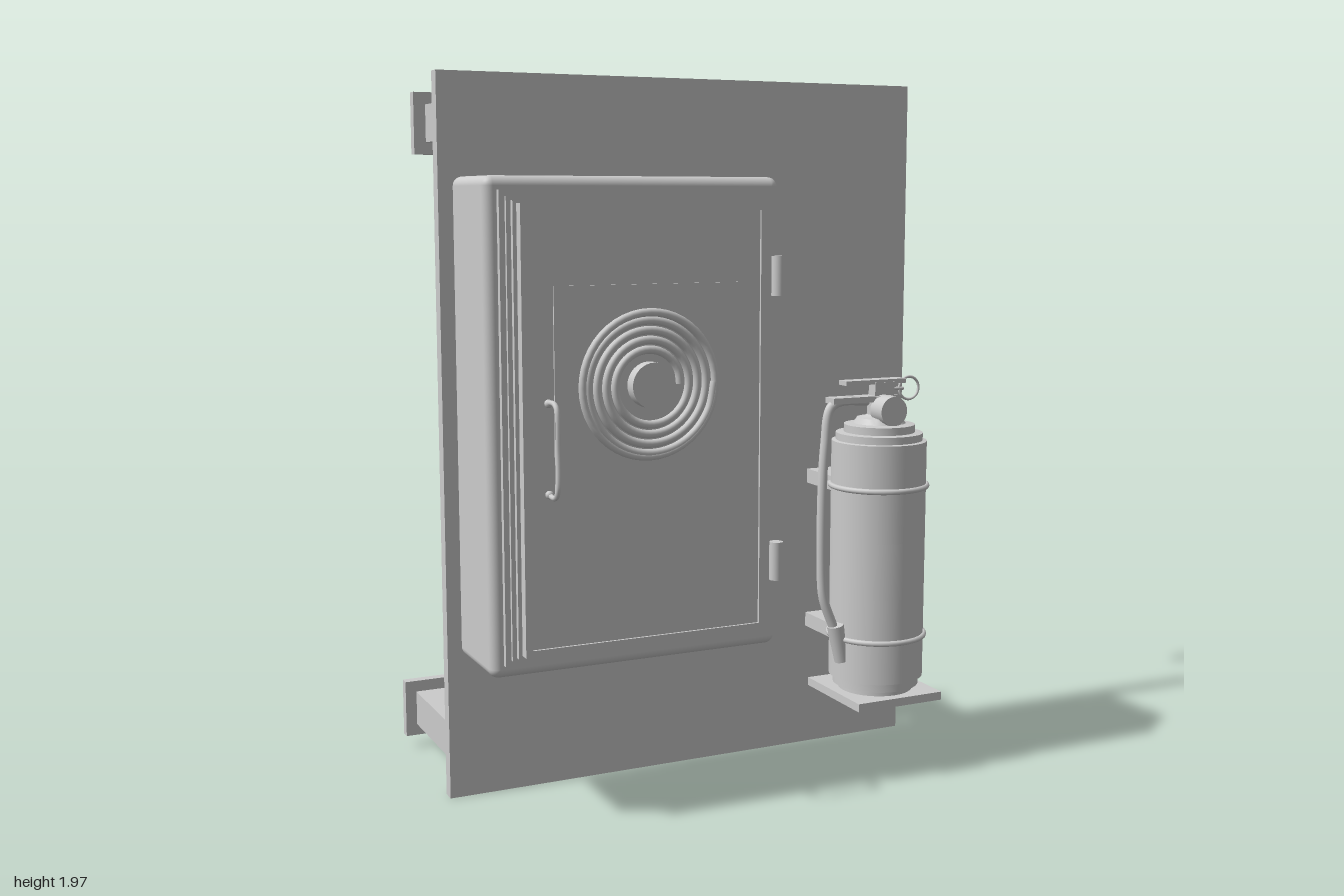
import * as THREE from 'three';
import { RoundedBoxGeometry } from 'three/addons/geometries/RoundedBoxGeometry.js';
import { toCreasedNormals } from 'three/addons/utils/BufferGeometryUtils.js';

const grey = new THREE.MeshStandardMaterial({ color: 0xcccccc });
grey.name = 'light grey';

function add(parent, name, geometry, x = 0, y = 0, z = 0) {
  const mesh = new THREE.Mesh(geometry, grey);
  mesh.name = name;
  mesh.position.set(x, y, z);
  parent.add(mesh);
  return mesh;
}

// Box given by its limits, optionally with rounded edges
function box(parent, name, [x0, x1], [y0, y1], [z0, z1], r = 0) {
  const size = [x1 - x0, y1 - y0, z1 - z0];
  const geometry = r ? new RoundedBoxGeometry(...size, 3, r) : new THREE.BoxGeometry(...size);
  return add(parent, name, geometry, (x0 + x1) / 2, (y0 + y1) / 2, (z0 + z1) / 2);
}

function tube(parent, name, points, radius, segments = 40, sides = 10) {
  const curve = new THREE.CatmullRomCurve3(points.map(p => new THREE.Vector3(...p)), false, 'centripetal');
  return add(parent, name, new THREE.TubeGeometry(curve, segments, radius, sides));
}

function group(parent, name) {
  const g = new THREE.Group();
  g.name = name;
  parent.add(g);
  return g;
}

// Rectangular ring extruded along z
function frame(parent, name, [x0, x1], [y0, y1], border, [z0, z1]) {
  const rect = (C, b) => {
    const s = new C();
    s.moveTo(x0 + b, y0 + b);
    s.lineTo(x1 - b, y0 + b);
    s.lineTo(x1 - b, y1 - b);
    s.lineTo(x0 + b, y1 - b);
    s.closePath();
    return s;
  };
  const shape = rect(THREE.Shape, 0);
  shape.holes.push(rect(THREE.Path, border));
  return add(parent, name, new THREE.ExtrudeGeometry(shape, { depth: z1 - z0, bevelEnabled: false }), 0, 0, z0);
}

// Square stand-off with a flange near its free end
function addPost(parent, side, y, end) {
  const post = group(parent, 'standOffPost');
  const x = side * 0.638;
  const square = (name, half, z0, z1) =>
    box(post, name, [x - half, x + half], [y - half, y + half], [z0, z1]);
  square('postShaft', 0.051, end + 0.03, -0.002);
  square('postFlange', 0.084, end + 0.018, end + 0.048);
  square('postEndCap', 0.051, end, end + 0.02);
  square('postEndInset', 0.06, end + 0.012, end + 0.02);
}

function addCabinet(parent) {
  const cabinet = group(parent, 'hoseCabinet');
  box(cabinet, 'cabinetBody', [-0.694, 0.139], [0.427, 1.716], [0.06, 0.334], 0.025);
  box(cabinet, 'cabinetLip', [-0.66, 0.1], [0.463, 1.68], [0.32, 0.35]);
  box(cabinet, 'doorSeal', [-0.645, 0.09], [0.48, 1.665], [0.345, 0.36]);
  box(cabinet, 'doorBack', [-0.633, 0.078], [0.487, 1.655], [0.358, 0.374]);
  box(cabinet, 'doorPanel', [-0.61, 0.055], [0.51, 1.635], [0.37, 0.395]);
  frame(cabinet, 'doorFrame', [-0.623, 0.066], [0.495, 1.647], 0.018, [0.372, 0.402]);

  // Hinge knuckles
  for (const y of [1.454, 0.675])
    add(cabinet, 'hinge', new THREE.CylinderGeometry(0.019, 0.019, 0.106, 20), 0.114, y, 0.376);

  // Door handle
  tube(cabinet, 'doorHandle', [[-0.555, 0.915, 0.39], [-0.553, 0.912, 0.44], [-0.552, 0.93, 0.455],
    [-0.55, 1.03, 0.455], [-0.552, 1.135, 0.455], [-0.553, 1.15, 0.44], [-0.555, 1.148, 0.39]], 0.007);
  for (const y of [0.915, 1.148])
    add(cabinet, 'handleFoot', new THREE.SphereGeometry(0.011, 12, 8), -0.555, y, 0.403);

  // Sign plate with a coiled hose and hub
  box(cabinet, 'signPlate', [-0.537, -0.018], [0.92, 1.442], [0.394, 0.4]);
  const coil = [];
  const turns = 4;
  for (let i = 0; i <= turns * 16; i++) {
    const a = (i / 16) * Math.PI * 2;
    const r = 0.085 + (0.1 * i) / (turns * 16);
    coil.push([r * Math.cos(a), r * Math.sin(a), 0]);
  }
  const hose = tube(cabinet, 'coiledHose', coil, 0.011, 240, 8);
  hose.position.set(-0.278, 1.183, 0.408);
  add(cabinet, 'coilOuterRing', new THREE.TorusGeometry(0.187, 0.011, 8, 48), -0.278, 1.183, 0.408);
  const hub = add(cabinet, 'coilHub', new THREE.CylinderGeometry(0.06, 0.06, 0.038, 32), -0.278, 1.183, 0.417);
  hub.rotation.x = Math.PI / 2;
}

function addExtinguisher(parent) {
  const ext = group(parent, 'extinguisher');
  const cx = 0.512, cz = 0.262;

  // Bottle turned from a stepped profile
  const profile = [[0, 0.234], [0.108, 0.234], [0.108, 0.252], [0.125, 0.252], [0.125, 0.278], [0.137, 0.278],
    [0.137, 0.97], [0.125, 0.972], [0.125, 0.993], [0.102, 0.995], [0.102, 1.017], [0.075, 1.02], [0.065, 1.036],
    [0.045, 1.04], [0.036, 1.045], [0.036, 1.1], [0, 1.1]].map(p => new THREE.Vector2(...p));
  add(ext, 'bottle', toCreasedNormals(new THREE.LatheGeometry(profile, 36), 0.6), cx, 0, cz);

  // Curved label
  const label = add(ext, 'label', new THREE.CylinderGeometry(0.139, 0.139, 0.163, 12, 1, true, -0.645, 1.29),
    cx, 0.608, cz);
  label.scale.set(1, 1, 1);

  // Straps and wall brackets
  for (const y of [0.84, 0.4]) {
    const strap = add(ext, 'strap', new THREE.TorusGeometry(0.139, 0.008, 8, 40), cx, y, cz);
    strap.rotation.x = Math.PI / 2;
    box(ext, 'wallBracket', [0.395, 0.637], [y - 0.021, y + 0.021], [0.048, 0.2]);
  }
  box(ext, 'footPlate', [0.374, 0.654], [0.212, 0.236], [0.108, 0.398]);

  // Valve, gauge, levers and pin ring
  const gauge = add(ext, 'gauge', new THREE.CylinderGeometry(0.043, 0.043, 0.06, 24), cx, 1.06, 0.31);
  gauge.rotation.x = Math.PI / 2;
  box(ext, 'lowerLever', [0.345, 0.56], [1.083, 1.1], [0.238, 0.286]);
  box(ext, 'leverPivot', [0.485, 0.55], [1.095, 1.138], [0.245, 0.28]);
  box(ext, 'upperLever', [0.39, 0.59], [1.133, 1.146], [0.236, 0.278]);
  add(ext, 'pinRing', new THREE.TorusGeometry(0.033, 0.004, 8, 28), 0.614, 1.115, 0.256);
  const pin = add(ext, 'safetyPin', new THREE.CylinderGeometry(0.005, 0.005, 0.09, 8), 0.55, 1.115, 0.256);
  pin.rotation.z = Math.PI / 2;

  // Hose and nozzle
  tube(ext, 'hose', [[0.47, 1.085, 0.262], [0.38, 1.088, 0.264], [0.345, 1.07, 0.266], [0.327, 0.97, 0.27],
    [0.317, 0.85, 0.275], [0.315, 0.58, 0.28], [0.322, 0.52, 0.282], [0.352, 0.44, 0.285]], 0.014, 60);
  const nozzle = add(ext, 'nozzle', new THREE.CylinderGeometry(0.025, 0.02, 0.11, 16), 0.37, 0.388, 0.287);
  nozzle.rotation.z = 0.2;
}

export function createModel() {
  const model = new THREE.Group();
  model.name = 'fireSafetyBoard';
  box(model, 'backBoard', [-0.725, 0.725], [0.016, 1.99], [0.012, 0.05]);
  for (const side of [-1, 1]) {
    addPost(model, side, 1.863, -0.222);
    addPost(model, side, 0.137, -0.452);
  }
  addCabinet(model);
  addExtinguisher(model);
  return model;
}
